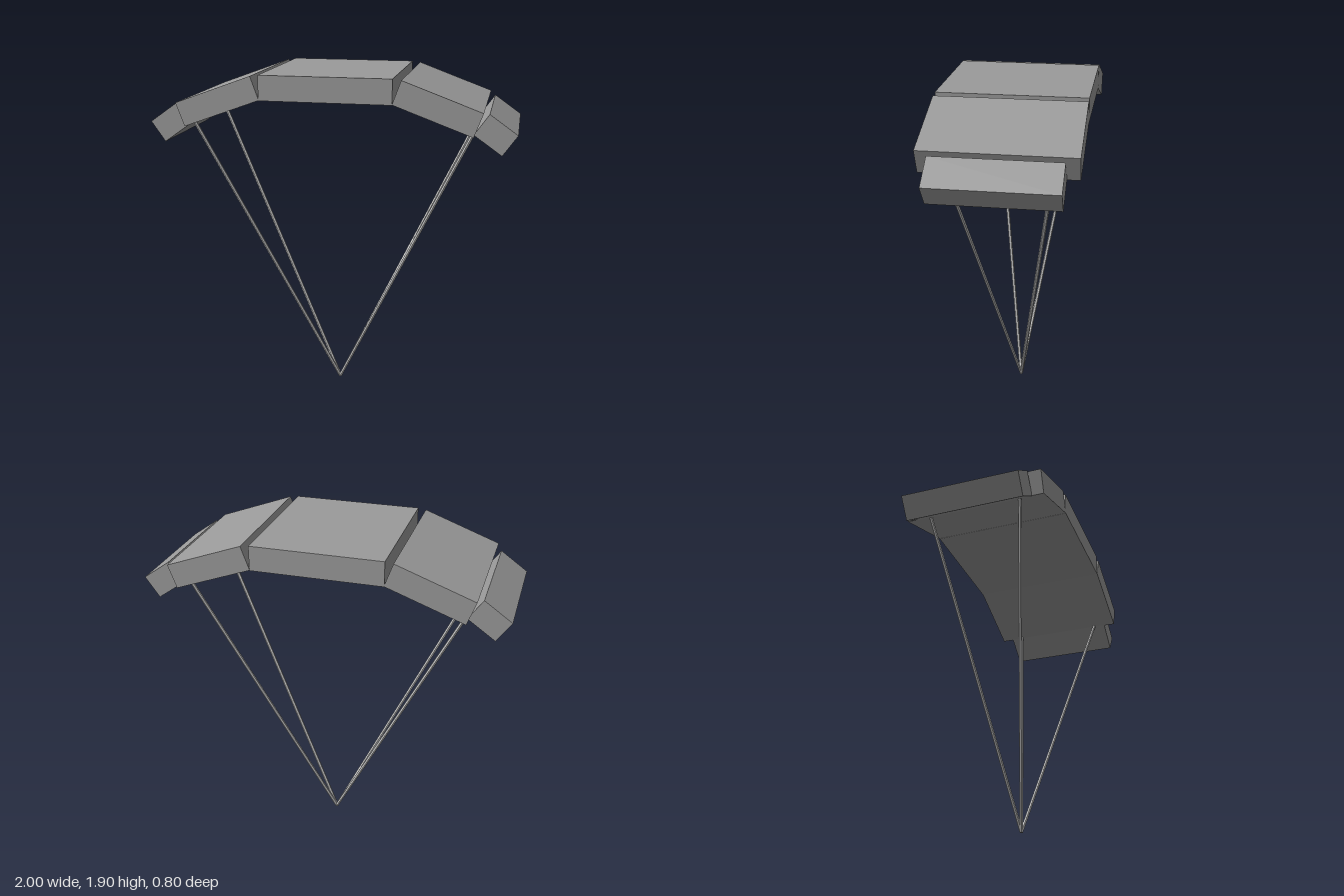
import * as THREE from 'three';

const canopyMaterial = new THREE.MeshStandardMaterial({ color: 0x9b9b9b, flatShading: true });
const cordMaterial = new THREE.MeshStandardMaterial({ color: 0xcccccc, flatShading: true });
const THICKNESS = 0.135;

// One flat canopy cell, tilted about z
function cell(name, length, depth, x, y, tilt) {
  const mesh = new THREE.Mesh(new THREE.BoxGeometry(length, THICKNESS, depth), canopyMaterial);
  mesh.name = name;
  mesh.position.set(x, y, 0);
  mesh.rotation.z = THREE.MathUtils.degToRad(tilt);
  return mesh;
}

// Thin straight cord between two points
function cord(name, from, to) {
  const dir = to.clone().sub(from);
  const mesh = new THREE.Mesh(new THREE.CylinderGeometry(0.01, 0.01, dir.length(), 6), cordMaterial);
  mesh.name = name;
  mesh.position.copy(from).addScaledVector(dir, 0.5);
  mesh.quaternion.setFromUnitVectors(new THREE.Vector3(0, 1, 0), dir.normalize());
  return mesh;
}

export function createModel() {
  const group = new THREE.Group();
  group.name = 'parachute';

  // Canopy: centre cell, sloping side cells, narrower tips
  group.add(cell('canopyCentre', 0.715, 0.8, -0.002, 1.835, 0));
  for (const [side, s] of [['left', 1], ['right', -1]]) {
    group.add(cell(`${side}CanopyPanel`, 0.45, 0.8, s * 0.59 - 0.001, 1.756, -20 * s));
    group.add(cell(`${side}CanopyTip`, 0.183, 0.665, s * 0.887, 1.62, -35 * s));

    // Suspension cords meet at the bottom
    for (const [end, e] of [['Front', 1], ['Back', -1]]) {
      group.add(cord(`${side}${end}Cord`,
        new THREE.Vector3(0.002, 0.005, 0),
        new THREE.Vector3(s * 0.78, 1.635, e * 0.265)));
    }
  }
  return group;
}
